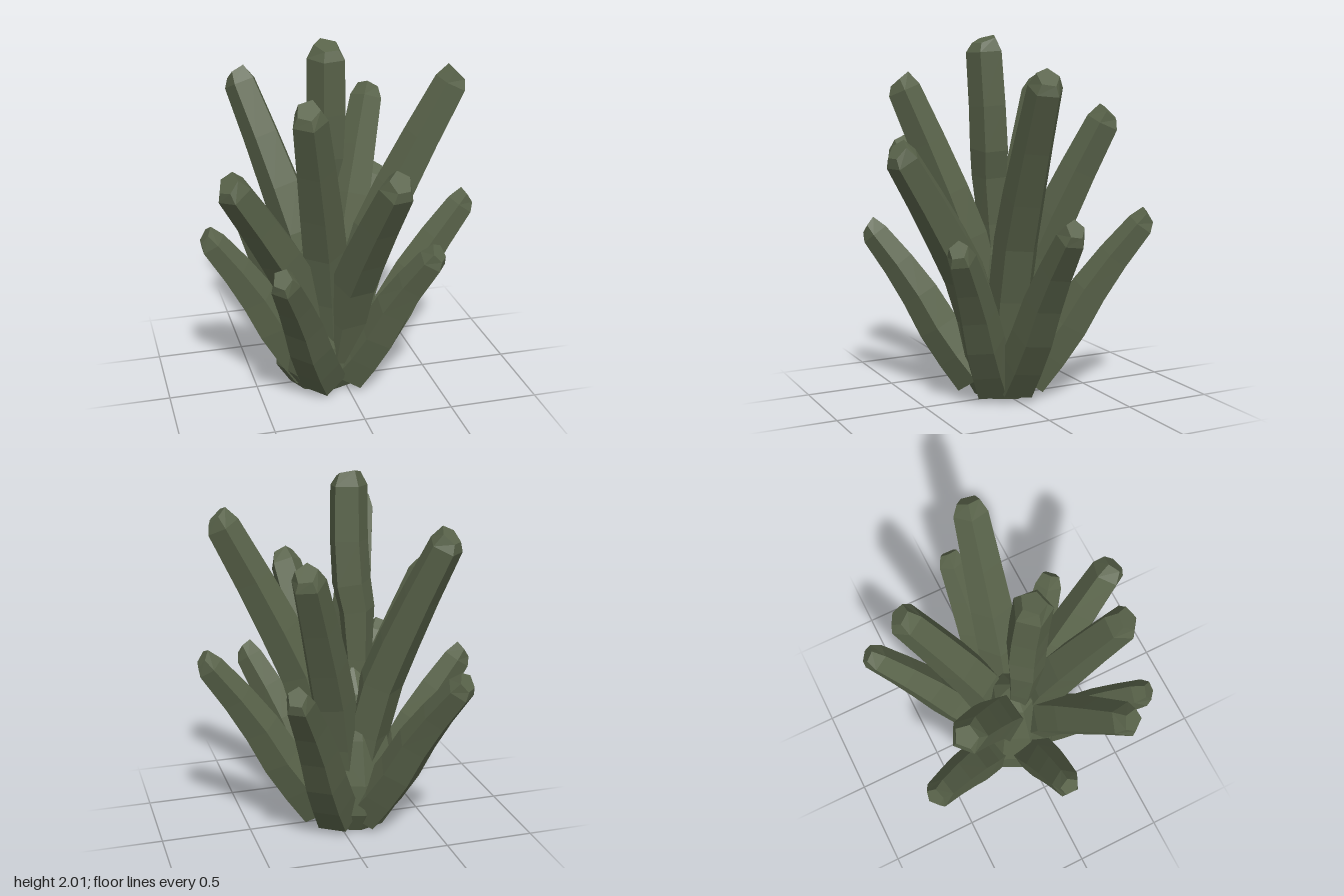
import * as THREE from 'three';

const SIDES = 5;
const STEPS = 5;
const AXIS = new THREE.Vector3(-0.06, 0, 0);

// Growth rules: how far out and how high (as shares of the tip) each path point
// lies, and the radius at root, middle and tip
const TALL = { out: [0.13, 0.33, 0.62, 1], up: [0.14, 0.47, 0.72, 1], radii: [0.13, 0.127, 0.095] };
const LOW = { out: [0.2, 0.45, 0.7, 1], up: [0.1, 0.36, 0.69, 1], radii: [0.135, 0.12, 0.08] };

// Path for a stalk that leans outward from the plant's axis to its tip
function leaningPath(rule, x, y, z) {
  return rule.out.map((f, i) => new THREE.Vector3(
    AXIS.x + (x - AXIS.x) * f,
    y * rule.up[i],
    AXIS.z + (z - AXIS.z) * f,
  ));
}

// Split the faces so every facet has its own normal
function faceted(geometry) {
  const flat = geometry.toNonIndexed();
  flat.computeVertexNormals();
  return flat;
}

// Five-sided tapering stalk swept along a curve, ending in a small slanted facet
function stalkGeometry(path, [root, middle, tip], twist) {
  const curve = new THREE.CatmullRomCurve3(path);
  const lean = path[3].clone().sub(path[0]);
  const across = new THREE.Vector3(0, 1, 0).cross(lean).normalize();
  const verts = [];
  const index = [];

  const addRing = (centre, tangent, radius, tilt) => {
    const side = across.clone().addScaledVector(tangent, -across.dot(tangent)).normalize();
    const normal = tangent.clone().cross(side);
    for (let i = 0; i < SIDES; i++) {
      const a = twist + (i / SIDES) * Math.PI * 2;
      const p = centre.clone()
        .addScaledVector(side, Math.cos(a) * radius)
        .addScaledVector(normal, Math.sin(a) * radius)
        .addScaledVector(tangent, Math.sin(a) * tilt);
      verts.push(p.x, p.y, p.z);
    }
  };

  for (let k = 0; k <= STEPS; k++) {
    const t = k / STEPS;
    const radius = t < 0.5
      ? THREE.MathUtils.lerp(root, middle, t * 2)
      : THREE.MathUtils.lerp(middle, tip, t * 2 - 1);
    addRing(curve.getPoint(t), curve.getTangent(t), radius, 0);
  }
  const endDir = curve.getTangent(1);
  addRing(curve.getPoint(1).addScaledVector(endDir, 0.065), endDir, tip * 0.66, 0.02);

  // Walls between rings, then the two ends
  const last = (STEPS + 1) * SIDES;
  for (let ring = 0; ring < last; ring += SIDES) {
    for (let i = 0; i < SIDES; i++) {
      const a = ring + i;
      const b = ring + ((i + 1) % SIDES);
      index.push(a, b, b + SIDES, a, b + SIDES, a + SIDES);
    }
  }
  for (let i = 1; i < SIDES - 1; i++) {
    index.push(0, i + 1, i, last, last + i, last + i + 1);
  }

  const geometry = new THREE.BufferGeometry();
  geometry.setAttribute('position', new THREE.Float32BufferAttribute(verts, 3));
  geometry.setIndex(index);
  return faceted(geometry);
}

export function createModel() {
  const group = new THREE.Group();
  group.name = 'spikyPlant';
  const green = new THREE.MeshStandardMaterial({ color: 0x59634a });
  green.name = 'mossGreen';

  const add = (name, geometry) => {
    const mesh = new THREE.Mesh(geometry, green);
    mesh.name = name;
    group.add(mesh);
    return mesh;
  };

  // Faceted root mound that the stalks grow out of
  const profile = [[0, 0], [0.2, 0], [0.28, 0.12], [0.28, 0.3], [0.22, 0.55], [0.13, 0.8], [0, 0.95]]
    .map(([x, y]) => new THREE.Vector2(x, y));
  const mound = add('rootMound', faceted(new THREE.LatheGeometry(profile, 8)));
  mound.scale.z = 0.85;
  mound.position.set(-0.1, 0, -0.02);

  // Upright centre stalk, slim at its root
  const centrePath = [
    new THREE.Vector3(-0.12, 0.6, 0),
    new THREE.Vector3(-0.14, 1.18, 0.03),
    new THREE.Vector3(-0.1, 1.45, 0.05),
    new THREE.Vector3(-0.1, 1.92, 0.08),
  ];
  add('centreStalk', stalkGeometry(centrePath, [0.06, 0.115, 0.105], Math.PI / 2));

  // Leaning stalks, each placed by its tip
  [
    ['tallLeftStalk', TALL, 0.59, 1.74, 0.08],
    ['tallBackRightStalk', TALL, -0.46, 1.68, -0.44],
    ['tallBackLeftStalk', TALL, 0.27, 1.54, -0.45],
    ['tallFrontRightStalk', TALL, -0.29, 1.71, 0.48],
    ['tallFrontStalk', TALL, 0.11, 1.37, 0.65],
    ['tallRightStalk', TALL, -0.65, 1.33, 0.35],
    ['lowLeftStalk', LOW, 0.7, 1.0, -0.01],
    ['lowRightStalk', LOW, -0.72, 0.91, -0.01],
    ['lowFrontLeftStalk', LOW, 0.38, 0.88, 0.45],
    ['lowFrontRightStalk', LOW, -0.45, 0.9, 0.6],
    ['lowBackLeftStalk', LOW, 0.37, 0.98, -0.64],
    ['lowBackRightStalk', LOW, -0.48, 0.97, -0.65],
  ].forEach(([name, rule, x, y, z], i) => {
    const twist = Math.PI / 2 + ((i % 3) - 1) * 0.2;
    add(name, stalkGeometry(leaningPath(rule, x, y, z), rule.radii, twist));
  });

  return group;
}
